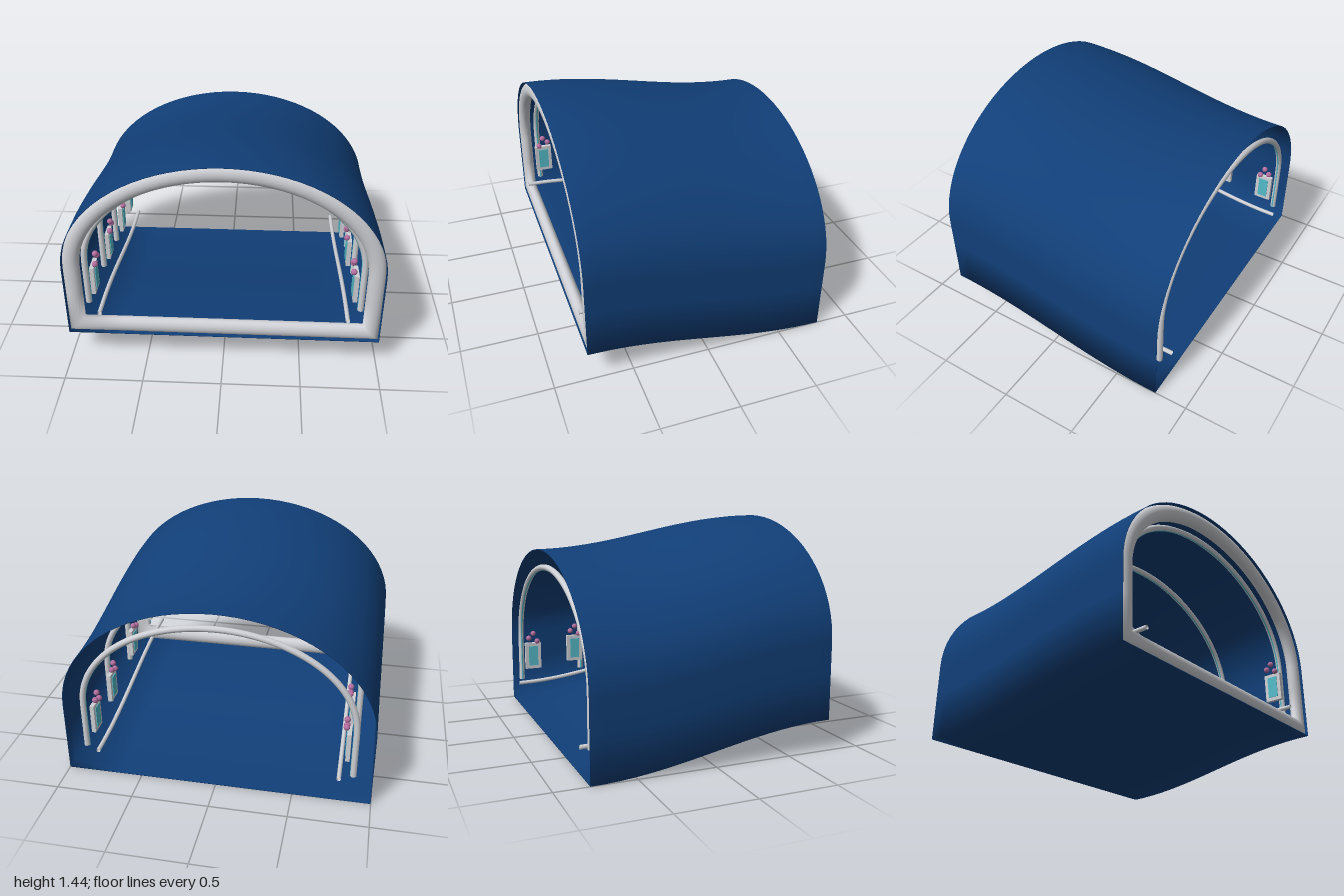
import * as THREE from 'three';

const END = 0.785;
const mat = (name, color, side = THREE.FrontSide) => {
  const m = new THREE.MeshStandardMaterial({ color, side });
  m.name = name;
  return m;
};

// Floor height: a soft S-shaped ramp from back (0) to front (0.2)
const rise = (z) => 0.1 + 0.1 * Math.sin((Math.PI / 2) * Math.max(-1, Math.min(1, z / END)));

// Upper arch of the cross-section, shrunk by an inset, from +x over to -x
function archPoints(inset, z, n = 40) {
  const pts = [];
  for (let i = 0; i <= n; i++) {
    const a = (Math.PI * i) / n;
    pts.push(new THREE.Vector3((1 - inset) * Math.cos(a), 0.5 + (0.74 - inset) * Math.sin(a) + rise(z), z));
  }
  return pts;
}

// Whole D-shaped cross-section: floor, walls and arch
function ring(inset, z) {
  const w = 1 - inset, b = inset + rise(z), m = 0.3 + rise(z);
  const p = (x, y) => new THREE.Vector3(x, y, z);
  return [p(-w, b), p(-0.65, b), p(0, b), p(0.65, b), p(w, b), p(w, m), ...archPoints(inset, z), p(-w, m)];
}

// Surface through closed rings; the last ring joins the first
function loft(rings) {
  const n = rings[0].length, count = rings.length, index = [];
  for (let r = 0; r < count; r++) {
    for (let i = 0; i < n; i++) {
      const s = (r + 1) % count, j = (i + 1) % n;
      const a = r * n + i, b = r * n + j, c = s * n + i, d = s * n + j;
      index.push(a, b, c, b, d, c);
    }
  }
  const g = new THREE.BufferGeometry().setFromPoints(rings.flat());
  g.setIndex(index);
  g.computeVertexNormals();
  return g;
}

const tube = (pts, radius, steps) =>
  new THREE.TubeGeometry(new THREE.CatmullRomCurve3(pts), steps, radius, 10);

export function createModel() {
  const model = new THREE.Group();
  model.name = 'archedCorridor';
  const blue = mat('deepBlue', 0x113f78, THREE.DoubleSide);
  const grey = mat('paleGrey', 0xcfd1d6, THREE.DoubleSide);
  const teal = mat('screenTeal', 0x55bccb);
  const pink = mat('blossomPink', 0xb56fa0);

  const add = (parent, name, geometry, material, x = 0, y = 0, z = 0) => {
    const mesh = new THREE.Mesh(geometry, material);
    mesh.name = name;
    mesh.position.set(x, y, z);
    parent.add(mesh);
    return mesh;
  };

  // Thin shell, out along the outside and back along the inside
  const outer = [], inner = [], steps = 18;
  for (let i = 0; i <= steps; i++) {
    const z = -END + (2 * END * i) / steps;
    outer.push(ring(0, z));
    inner.unshift(ring(0.004, z));
  }
  add(model, 'corridorShell', loft([...outer, ...inner]), blue);

  // Rounded frame around the front opening
  const rim = [];
  for (let i = 0; i < 16; i++) {
    const t = (i / 16) * Math.PI * 2;
    rim.push(ring(0.056 - 0.054 * Math.cos(t), 0.744 + 0.041 * Math.sin(t)));
  }
  add(model, 'frontFrame', loft(rim), grey);

  // Arched ribs, each with a slim light strip on the inside
  const ribPath = (inset, z) => {
    const arch = archPoints(inset, z, 32), foot = 0.17 + rise(z), w = 1 - inset;
    const leg = (x) => [foot, foot + 0.16].map((y) => new THREE.Vector3(x, y, z));
    return [...leg(w), ...arch, ...leg(-w).reverse()];
  };
  for (const z of [-0.74, -0.27, 0.19, 0.67]) {
    const rib = new THREE.Group();
    rib.name = 'rib';
    add(rib, 'ribTube', tube(ribPath(0.122, z), 0.02, 80), grey);
    add(rib, 'ribLight', tube(ribPath(0.138, z), 0.006, 80), teal);
    model.add(rib);
  }

  // Things along each side wall
  const frame = new THREE.BoxGeometry(0.028, 0.2, 0.12);
  const screen = new THREE.BoxGeometry(0.006, 0.15, 0.07);
  const ball = new THREE.SphereGeometry(0.02, 14, 10);
  for (const side of [-1, 1]) {
    const label = side > 0 ? 'left' : 'right';

    // Handrail following the ramp
    const rail = [];
    for (let i = 0; i <= 12; i++) {
      const z = -0.78 + 0.13 * i;
      rail.push(new THREE.Vector3(side * 0.79, rise(z) + 0.16, z));
    }
    add(model, label + 'Handrail', tube(rail, 0.014, 48), grey);

    // Wall panels with a cluster of blossoms on top
    for (const z of [-0.66, -0.33, 0.16, 0.64]) {
      const panel = new THREE.Group();
      panel.name = label + 'WallPanel';
      panel.position.set(side * 0.833, rise(z), z);
      add(panel, 'panelFrame', frame, grey, 0, 0.355, 0);
      add(panel, 'panelScreen', screen, teal, -side * 0.016, 0.355, 0);
      for (const [y, dz] of [[0.53, 0], [0.495, -0.035], [0.47, 0.03]]) {
        add(panel, 'blossom', ball, pink, -side * 0.02, y, dz);
      }
      model.add(panel);
    }
  }
  return model;
}
